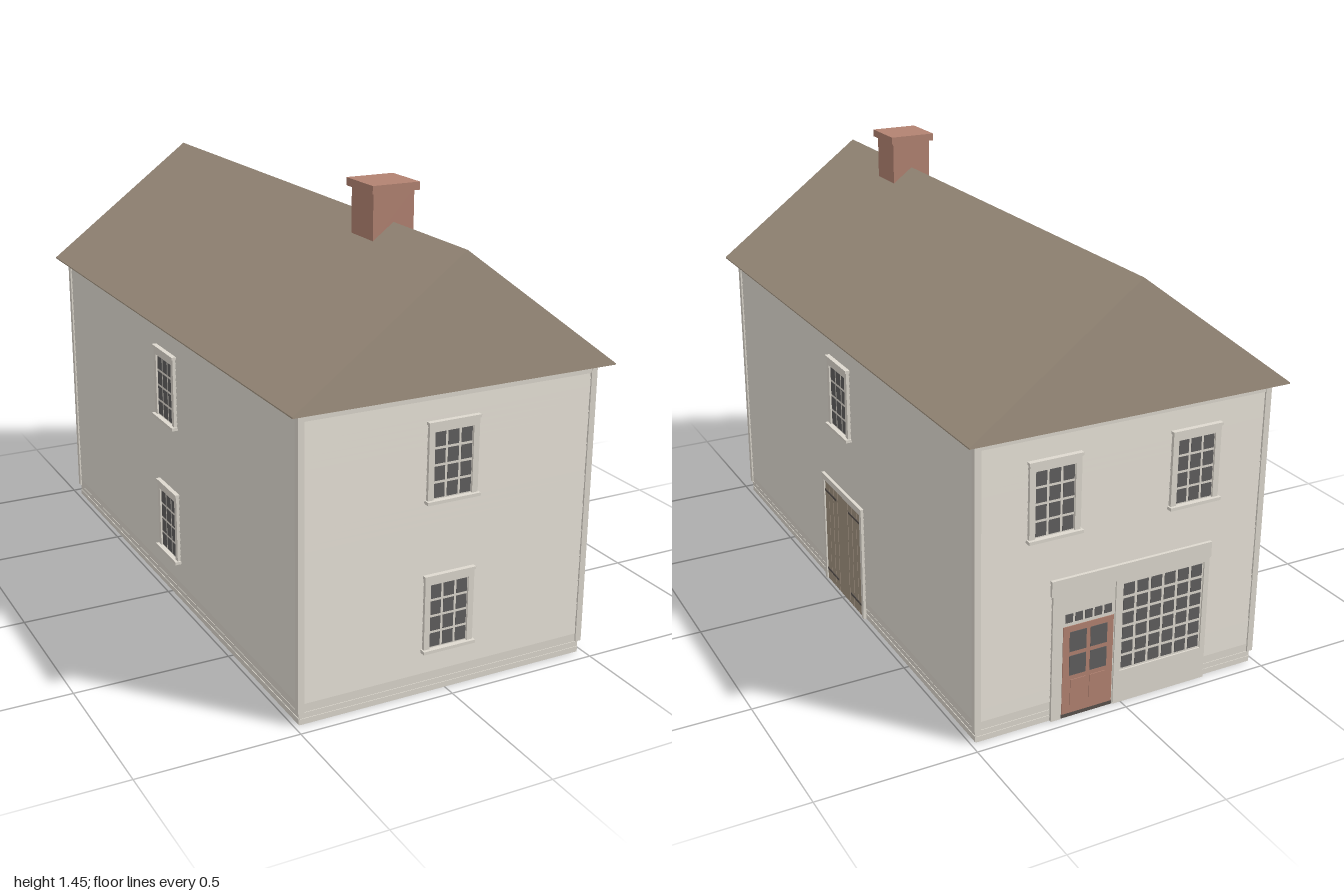
import * as THREE from 'three';

const mat = (name, color) => {
  const m = new THREE.MeshStandardMaterial({ color });
  m.name = name;
  return m;
};

export function createModel() {
  const paint = mat('palePaint', 0xded9cf);
  const glass = mat('darkGlass', 0x605f5f);
  const brown = mat('brownShingle', 0xa29381);
  const iron = mat('darkIron', 0x5a534e);
  const brick = mat('brick', 0xb38372);

  const house = new THREE.Group();
  house.name = 'house';
  const W = 0.482, D = 0.955, EAVE = 0.943;

  const box = (parent, name, m, w, h, d, x, y, z) => {
    const mesh = new THREE.Mesh(new THREE.BoxGeometry(w, h, d), m);
    mesh.position.set(x, y, z);
    mesh.name = name;
    parent.add(mesh);
    return mesh;
  };
  // Box on a wall: u range, y range and depth range outward from the wall face
  const slab = (parent, name, m, u0, u1, y0, y1, d1, d0 = -0.002) =>
    box(parent, name, m, u1 - u0, y1 - y0, d1 - d0, (u0 + u1) / 2, (y0 + y1) / 2, (d0 + d1) / 2);
  const group = (parent, name) => {
    const g = new THREE.Group();
    g.name = name;
    parent.add(g);
    return g;
  };

  // Separate glass panes in a grid
  const panes = (parent, u0, u1, y0, y1, cols, rows, d, gap = 0.008) => {
    const pw = (u1 - u0 + gap) / cols, ph = (y1 - y0 + gap) / rows;
    for (let i = 0; i < cols; i++)
      for (let j = 0; j < rows; j++)
        slab(parent, 'pane', glass, u0 + i * pw, u0 + (i + 1) * pw - gap,
          y0 + j * ph, y0 + (j + 1) * ph - gap, d + 0.001, d - 0.002);
  };

  // Sash window with raised casing, sill and head
  const sashWindow = (wall, u, y) => {
    const g = group(wall, 'sashWindow');
    g.position.set(u, y, 0);
    slab(g, 'sash', paint, -0.07, 0.07, 0.005, 0.225, 0.007);
    panes(g, -0.062, 0.062, 0.014, 0.212, 3, 4, 0.007);
    for (const s of [-1, 1]) slab(g, 'casing', paint, s * 0.0735 - 0.0095, s * 0.0735 + 0.0095, 0.005, 0.24, 0.013);
    slab(g, 'headCasing', paint, -0.083, 0.083, 0.216, 0.24, 0.013);
    slab(g, 'headMoulding', paint, -0.086, 0.086, 0.237, 0.246, 0.017);
    slab(g, 'sill', paint, -0.088, 0.088, 0, 0.01, 0.023);
  };

  // Corner boards
  for (const sx of [-1, 1])
    for (const sz of [-1, 1])
      box(house, 'cornerBoard', paint, 0.02, EAVE - 0.04, 0.02, sx * 0.48, (EAVE + 0.04) / 2, sz * 0.953);

  // Sawtooth section of overlapping clapboards, extruded along the wall
  const clapboards = (length) => {
    const section = new THREE.Shape().moveTo(-0.002, 0.066);
    const pitch = 0.0202;
    for (let i = 0; i < 42; i++) {
      section.lineTo(0.004, 0.066 + i * pitch);
      section.lineTo(0.001, 0.066 + (i + 1) * pitch);
    }
    section.lineTo(-0.002, 0.066 + 42 * pitch).closePath();
    return new THREE.ExtrudeGeometry(section, { depth: length, bevelEnabled: false })
      .rotateY(-Math.PI / 2).translate(length / 2, 0, 0);
  };

  // Thin walls, open underneath, with clapboards, frieze and base boards
  const makeWall = (name, angle, half, dist) => {
    const wall = group(house, name);
    wall.rotation.y = angle;
    wall.position.set(Math.sin(angle) * dist, 0, Math.cos(angle) * dist);
    slab(wall, 'wallSheet', paint, -half, half, 0, EAVE, 0, -0.005);
    const boards = new THREE.Mesh(clapboards(2 * half - 0.022), paint);
    boards.name = 'clapboards';
    wall.add(boards);
    slab(wall, 'frieze', paint, -half, half, 0.914, EAVE, 0.006);
    slab(wall, 'waterTable', paint, -half, half, 0.04, 0.066, 0.003);
    slab(wall, 'lowerBaseBoard', paint, -half, half, 0, 0.018, 0.002);
    slab(wall, 'upperBaseBoard', paint, -half, half, 0.021, 0.037, 0.002);
    return wall;
  };
  const front = makeWall('frontWall', 0, W, D);
  const back = makeWall('backWall', Math.PI, W, D);
  const leftWall = makeWall('leftWall', Math.PI / 2, D, W);
  const rightWall = makeWall('rightWall', -Math.PI / 2, D, W);

  for (const wall of [front, rightWall]) sashWindow(wall, 0, 0.135);
  for (const wall of [front, rightWall, leftWall]) sashWindow(wall, 0, 0.605);
  for (const u of [-0.24, 0.23]) sashWindow(back, u, 0.605);

  // Double plank door with raised planks and strap hinges
  const barn = group(leftWall, 'plankDoor');
  slab(barn, 'doorLeaves', brown, -0.153, 0.153, 0, 0.38, 0.0055);
  slab(barn, 'middlePlank', brown, -0.041, 0.041, 0, 0.375, 0.007);
  for (const s of [-1, 1]) {
    for (const u of [0.0625, 0.0995, 0.135])
      slab(barn, 'plank', brown, s * u - 0.0165, s * u + 0.0165, 0, 0.375, 0.007);
    for (const y of [0.04, 0.34])
      slab(barn, 'strapHinge', iron, s * 0.102 - 0.049, s * 0.102 + 0.049, y - 0.004, y + 0.004, 0.009, 0.003);
    slab(barn, 'doorCasing', paint, s * 0.16 - 0.008, s * 0.16 + 0.008, 0, 0.385, 0.012);
  }
  slab(barn, 'doorHead', paint, -0.168, 0.168, 0.378, 0.4, 0.013);

  // Shop front: surround, glazed door with transom, display window
  const shop = group(back, 'shopFront');
  slab(shop, 'shopPanel', paint, -0.24, 0.3, 0, 0.425, 0.007);
  slab(shop, 'shopFascia', paint, -0.245, 0.305, 0.415, 0.465, 0.012);
  slab(shop, 'shopPilaster', paint, -0.24, -0.208, 0, 0.415, 0.011);
  slab(shop, 'windowBulkhead', paint, -0.028, 0.3, 0, 0.108, 0.012);
  slab(shop, 'windowHead', paint, -0.028, 0.3, 0.403, 0.415, 0.012);
  slab(shop, 'windowPost', paint, -0.028, -0.006, 0.108, 0.403, 0.012);
  slab(shop, 'windowPost', paint, 0.282, 0.3, 0.108, 0.403, 0.012);
  panes(shop, 0, 0.276, 0.115, 0.397, 6, 6, 0.008, 0.01);
  panes(shop, -0.196, -0.04, 0.317, 0.345, 5, 1, 0.008);
  slab(shop, 'doorStep', iron, -0.205, -0.03, 0, 0.012, 0.009);
  slab(shop, 'shopDoor', brick, -0.203, -0.032, 0.012, 0.305, 0.009);
  panes(shop, -0.181, -0.054, 0.14, 0.285, 2, 2, 0.0095, 0.014);
  for (const u of [-0.15, -0.085])
    box(shop, 'doorPanel', brick, 0.052, 0.085, 0.003, u, 0.082, 0.0095);

  // Gabled roof as one prism
  const gable = new THREE.Shape();
  gable.moveTo(-0.525, EAVE).lineTo(0.525, EAVE).lineTo(0.525, EAVE + 0.004)
    .lineTo(0, 1.34).lineTo(-0.525, EAVE + 0.004).closePath();
  const roof = new THREE.Mesh(
    new THREE.ExtrudeGeometry(gable, { depth: 2, bevelEnabled: false }), brown);
  roof.position.z = -1;
  roof.name = 'roof';
  house.add(roof);

  // Chimney
  box(house, 'chimneyStack', brick, 0.136, 0.15, 0.13, 0, 1.358, 0.538);
  box(house, 'chimneyCap', brick, 0.157, 0.024, 0.158, 0, 1.442, 0.538);

  return house;
}
